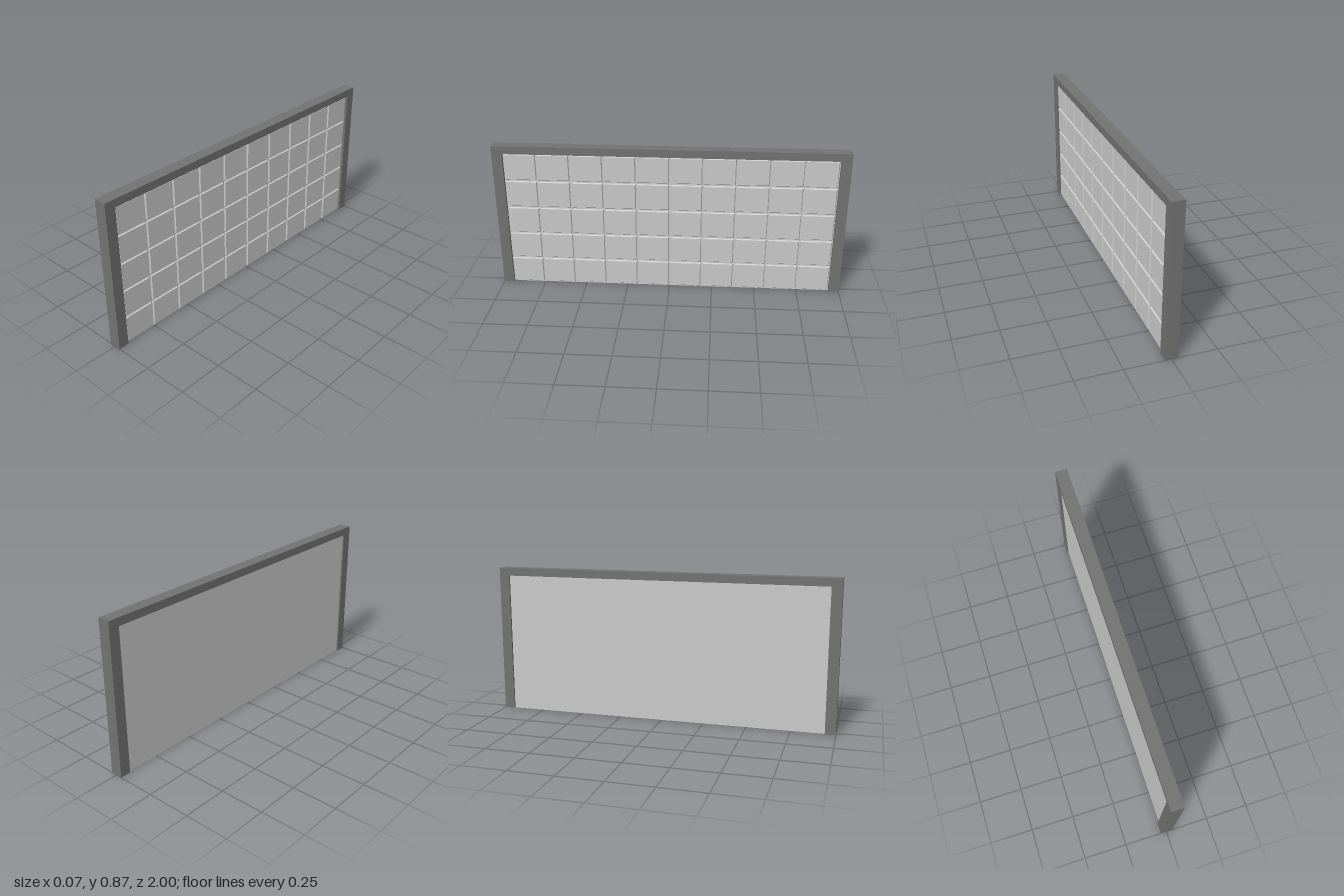
import * as THREE from 'three';

const WIDTH = 2, HEIGHT = 0.865, DEPTH = 0.07;
const POST = 0.06, BEAM = 0.045;
const COLS = 10, ROWS = 5;

const frameMaterial = new THREE.MeshStandardMaterial({ color: 0x737373 });
const panelMaterial = new THREE.MeshStandardMaterial({ color: 0xcccccc, flatShading: true });

function box(name, material, size, position) {
  const mesh = new THREE.Mesh(new THREE.BoxGeometry(...size), material);
  mesh.name = name;
  mesh.position.set(...position);
  return mesh;
}

// Raised tile facing +x, its outer face drawn in to make sloped edges
function tileGeometry(thickness, height, width, bevel) {
  const geometry = new THREE.BoxGeometry(thickness, height, width);
  const p = geometry.attributes.position;
  for (let i = 0; i < p.count; i++) {
    if (p.getX(i) > 0) {
      p.setY(i, p.getY(i) - Math.sign(p.getY(i)) * bevel);
      p.setZ(i, p.getZ(i) - Math.sign(p.getZ(i)) * bevel);
    }
  }
  geometry.computeVertexNormals();
  return geometry;
}

export function createModel() {
  const model = new THREE.Group();
  model.name = 'panelDoor';

  // Frame: two posts under a full-width beam
  const postHeight = HEIGHT - BEAM;
  for (const side of [1, -1]) {
    model.add(box(side > 0 ? 'frontPost' : 'backPost', frameMaterial,
      [DEPTH, postHeight, POST], [0, postHeight / 2, side * (WIDTH - POST) / 2]));
  }
  model.add(box('topBeam', frameMaterial, [DEPTH, BEAM, WIDTH], [0, HEIGHT - BEAM / 2, 0]));

  // Door slab, plain on the -x side
  const doorWidth = WIDTH - 2 * POST;
  const slabBack = -0.025, slabFront = 0.018, tileFront = 0.025;
  model.add(box('doorSlab', panelMaterial, [slabFront - slabBack, postHeight, doorWidth],
    [(slabFront + slabBack) / 2, postHeight / 2, 0]));

  // Grid of raised tiles on the +x side
  const tiles = new THREE.Group();
  tiles.name = 'doorTiles';
  const cellW = doorWidth / COLS, cellH = postHeight / ROWS;
  const geometry = tileGeometry(tileFront - slabFront, cellH - 0.008, cellW - 0.008, 0.005);
  for (let row = 0; row < ROWS; row++) {
    for (let col = 0; col < COLS; col++) {
      const tile = new THREE.Mesh(geometry, panelMaterial);
      tile.name = 'tile';
      tile.position.set((slabFront + tileFront) / 2, (row + 0.5) * cellH, (col + 0.5) * cellW - doorWidth / 2);
      tiles.add(tile);
    }
  }
  model.add(tiles);
  return model;
}
